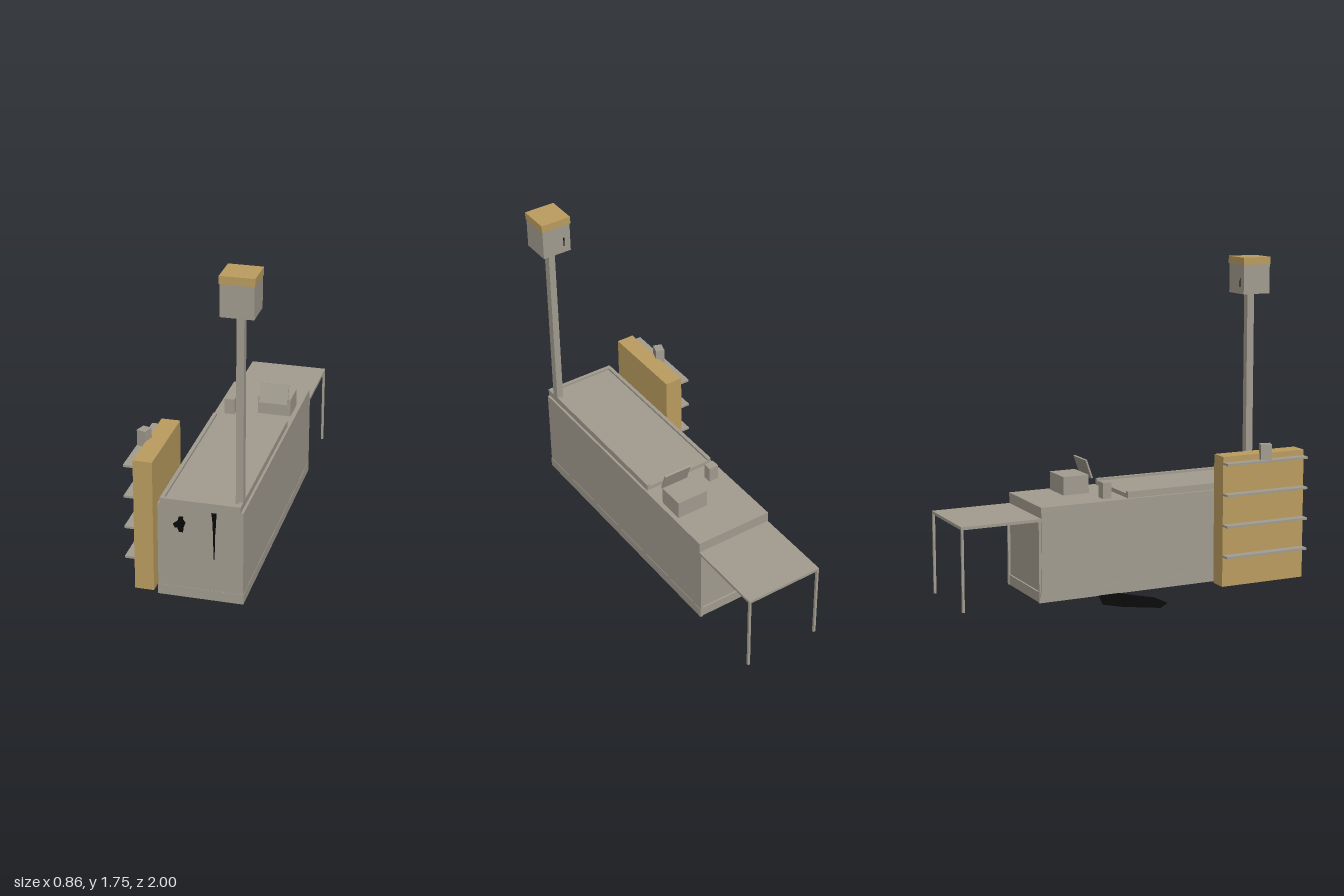
import * as THREE from 'three';

const mat = (name, color, side = THREE.FrontSide) => {
  const m = new THREE.MeshStandardMaterial({ color, side });
  m.name = name;
  return m;
};

export function createModel() {
  const root = new THREE.Group();
  root.name = 'checkoutCounter';
  const grey = mat('warm grey', 0xa39d90);
  const tan = mat('tan', 0xbb9d60);
  const black = mat('black', 0x080808, THREE.DoubleSide);

  // Box given by its limits on each axis
  const box = (name, m, [x0, x1], [y0, y1], [z0, z1]) => {
    const mesh = new THREE.Mesh(new THREE.BoxGeometry(x1 - x0, y1 - y0, z1 - z0), m);
    mesh.position.set((x0 + x1) / 2, (y0 + y1) / 2, (z0 + z1) / 2);
    mesh.name = name;
    root.add(mesh);
    return mesh;
  };
  // Flat stain from an outline
  const stain = (name, pts) => {
    const shape = new THREE.Shape(pts.map(([x, y]) => new THREE.Vector2(x, y)));
    const mesh = new THREE.Mesh(new THREE.ShapeGeometry(shape), black);
    mesh.name = name;
    root.add(mesh);
    return mesh;
  };

  // Counter
  box('plinth', grey, [-0.067, 0.377], [0, 0.055], [-0.565, 0.982]);
  box('counterBody', grey, [-0.065, 0.375], [0.055, 0.512], [-0.555, 0.98]);

  // Conveyor with raised rails
  box('conveyorBelt', grey, [-0.03, 0.342], [0.512, 0.535], [-0.045, 0.97]);
  for (const [a, b] of [[-0.05, -0.03], [0.342, 0.362]])
    box('sideRail', grey, [a, b], [0.512, 0.548], [-0.045, 0.99]);
  box('frontRail', grey, [-0.03, 0.342], [0.512, 0.548], [0.97, 0.99]);

  // Bagging table behind the counter
  box('tableTop', grey, [-0.065, 0.375], [0.437, 0.453], [-1, -0.555]);
  for (const x of [-0.065, 0.362])
    for (const z of [-1, -0.57])
      box('tableLeg', grey, [x, x + 0.013], [0, 0.437], [z, z + 0.013]);

  // Register, tilted screen and card reader
  box('register', grey, [0.167, 0.35], [0.512, 0.613], [-0.325, -0.175]);
  const screen = box('screen', grey, [0.18, 0.338], [0.587, 0.695], [-0.171, -0.161]);
  screen.rotation.x = -0.33;
  box('cardReader', grey, [-0.01, 0.046], [0.512, 0.6], [-0.172, -0.124]);

  // Lane light
  box('lightPole', grey, [0.324, 0.362], [0.512, 1.542], [0.892, 0.935]);
  box('lightBox', grey, [0.259, 0.425], [1.54, 1.705], [0.83, 0.997]);
  box('lightCap', tan, [0.255, 0.429], [1.705, 1.746], [0.827, 1]);
  box('lightScratch', black, [0.296, 0.302], [1.58, 1.63], [0.828, 0.83]);

  // Side display rack
  box('rackBack', tan, [-0.195, -0.095], [0, 0.72], [0.455, 0.96]);
  for (const y of [0.171, 0.341, 0.513, 0.683])
    box('rackShelf', grey, [-0.246, -0.195], [y - 0.006, y + 0.006], [0.455, 0.958]);
  const item = box('rackItem', grey, [-0.236, -0.186], [0.689, 0.775], [0.677, 0.737]);
  item.rotation.y = -0.3;

  // Stains on the counter front
  stain('frontBlot', [[0.015, 0.41], [0.04, 0.43], [0.046, 0.453], [0.07, 0.455], [0.068, 0.442],
    [0.081, 0.422], [0.07, 0.395], [0.068, 0.367], [0.046, 0.368], [0.038, 0.39], [0.024, 0.39]])
    .position.z = 0.983;
  stain('frontDrip', [[0.212, 0.495], [0.239, 0.495], [0.237, 0.44], [0.232, 0.37], [0.229, 0.23],
    [0.223, 0.24], [0.222, 0.35], [0.217, 0.46]]).position.z = 0.983;

  // Puddle on the floor
  const puddle = stain('puddle', [[-0.24, 0.285], [-0.065, 0.227], [-0.05, 0.12], [-0.15, 0.05],
    [-0.23, -0.023], [-0.36, -0.036], [-0.43, 0.04], [-0.325, 0.21]]);
  puddle.rotation.x = -Math.PI / 2;
  puddle.position.y = 0.002;

  return root;
}
